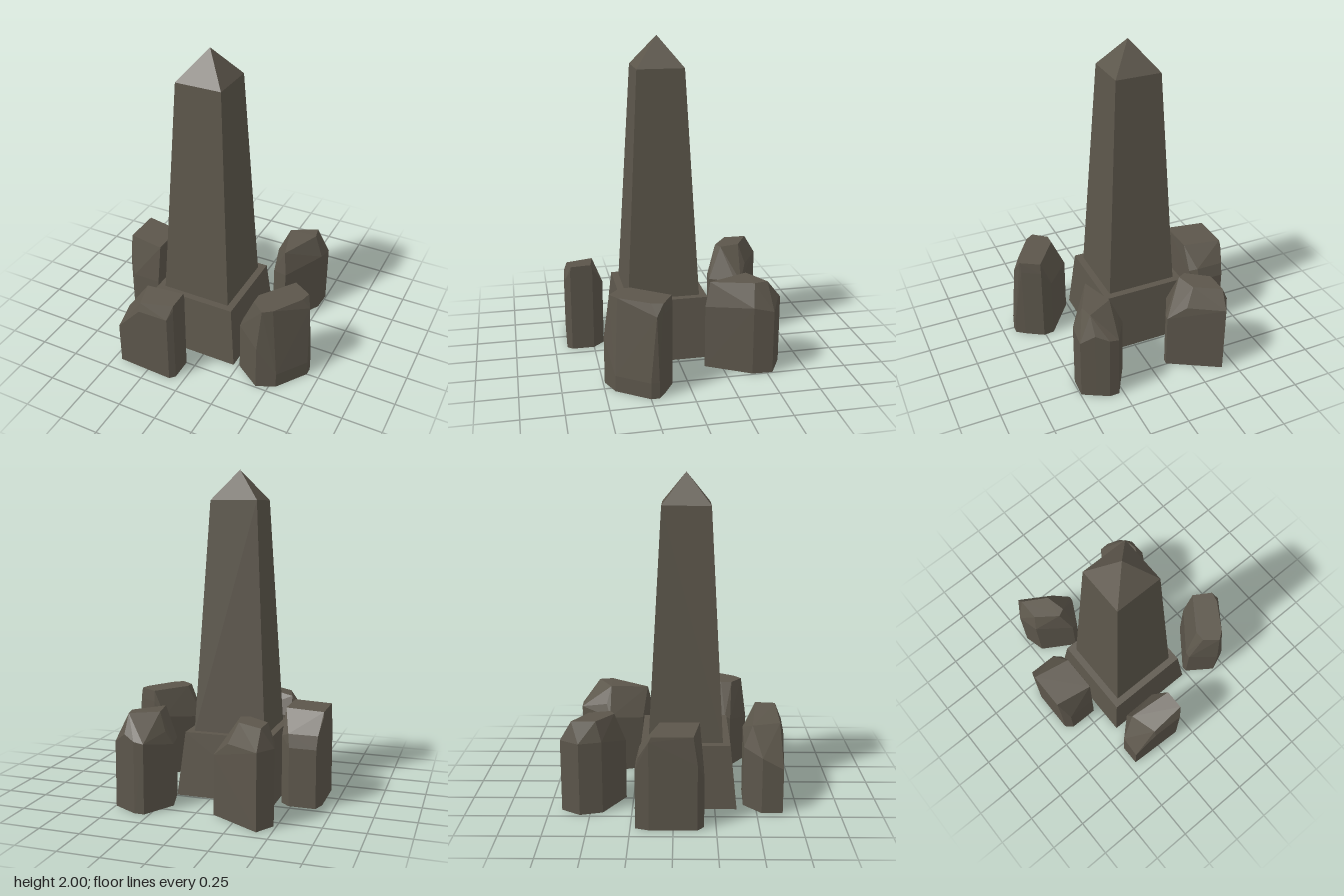
import * as THREE from 'three';
import { ConvexGeometry } from 'three/addons/geometries/ConvexGeometry.js';

export function createModel() {
  const model = new THREE.Group();
  const stone = new THREE.MeshStandardMaterial({ color: 0x5c564b });
  stone.name = 'weathered stone';

  function hull(name, points) {
    const mesh = new THREE.Mesh(new ConvexGeometry(points.map(p => new THREE.Vector3(...p))), stone);
    mesh.name = name;
    model.add(mesh);
  }

  // Four corners of a horizontal square around the monument's axis
  const CX = -0.09, CZ = 0.073;
  const square = (half, y) => [[-1, -1], [1, -1], [1, 1], [-1, 1]]
    .map(([sx, sz]) => [CX + sx * half, y, CZ + sz * half]);

  // Central obelisk
  hull('plinth', [...square(0.31, 0), ...square(0.27, 0.395)]);
  hull('shaft', [...square(0.226, 0.39), ...square(0.146, 1.815)]);
  hull('capstone', [...square(0.146, 1.815), [CX + 0.004, 2, CZ]]);

  // Standing stones: footprint entries are [x, z, shoulder height],
  // crown entries are [x, z, height]
  const boulders = {
    leftStone: {
      footprint: [[-0.65, -0.22, 0.36], [-0.485, -0.22, 0.36], [-0.43, -0.17, 0.42], [-0.43, 0.14, 0.56],
        [-0.445, 0.18, 0.3], [-0.63, 0.18, 0.3], [-0.675, 0.14, 0.4], [-0.675, -0.14, 0.54]],
      crown: [[-0.673, -0.125, 0.57], [-0.432, -0.08, 0.57], [-0.432, 0.155, 0.57], [-0.673, 0.115, 0.57],
        [-0.655, -0.2, 0.44], [-0.475, -0.2, 0.44]],
    },
    backLeftStone: {
      footprint: [[-0.415, -0.675, 0.45], [-0.21, -0.55, 0.45], [-0.105, -0.495, 0.36], [-0.11, -0.46, 0.36],
        [-0.195, -0.3, 0.36], [-0.235, -0.295, 0.38], [-0.45, -0.425, 0.45], [-0.485, -0.56, 0.45]],
      crown: [[-0.42, -0.605, 0.57], [-0.265, -0.515, 0.57], [-0.235, -0.385, 0.57],
        [-0.285, -0.36, 0.57], [-0.42, -0.46, 0.57]],
    },
    backRightStone: {
      footprint: [[0.28, -0.62, 0.42], [0.34, -0.62, 0.43], [0.415, -0.58, 0.46], [0.495, -0.535, 0.4],
        [0.49, -0.41, 0.43], [0.34, -0.145, 0.4], [0.23, -0.21, 0.36], [0.17, -0.425, 0.38]],
      crown: [[0.21, -0.45, 0.46], [0.255, -0.42, 0.57], [0.417, -0.51, 0.57], [0.435, -0.425, 0.57],
        [0.315, -0.18, 0.55]],
    },
    rightStone: {
      footprint: [[0.44, 0.1, 0.4], [0.51, 0.092, 0.5], [0.62, 0.16, 0.5], [0.672, 0.2, 0.1],
        [0.672, 0.25, 0.1], [0.54, 0.44, 0.1], [0.425, 0.49, 0.3], [0.26, 0.375, 0.34], [0.26, 0.34, 0.36]],
      crown: [[0.51, 0.098, 0.57], [0.625, 0.168, 0.57], [0.61, 0.235, 0.57], [0.495, 0.415, 0.57],
        [0.44, 0.455, 0.57], [0.355, 0.385, 0.57], [0.355, 0.315, 0.57], [0.652, 0.21, 0.5]],
    },
    frontStone: {
      footprint: [[-0.45, 0.53, 0.35], [-0.34, 0.425, 0.38], [-0.125, 0.43, 0.43], [-0.06, 0.5, 0.54],
        [-0.06, 0.64, 0.53], [-0.09, 0.672, 0.47], [-0.29, 0.664, 0.46], [-0.45, 0.657, 0.28]],
      crown: [[-0.335, 0.475, 0.515], [-0.06, 0.51, 0.57], [-0.06, 0.635, 0.565], [-0.287, 0.645, 0.515]],
    },
  };
  for (const [name, { footprint, crown }] of Object.entries(boulders)) {
    hull(name, [
      ...footprint.map(([x, z]) => [x, 0, z]),
      ...footprint.map(([x, z, y]) => [x, y, z]),
      ...crown.map(([x, z, y]) => [x, y, z]),
    ]);
  }
  return model;
}
